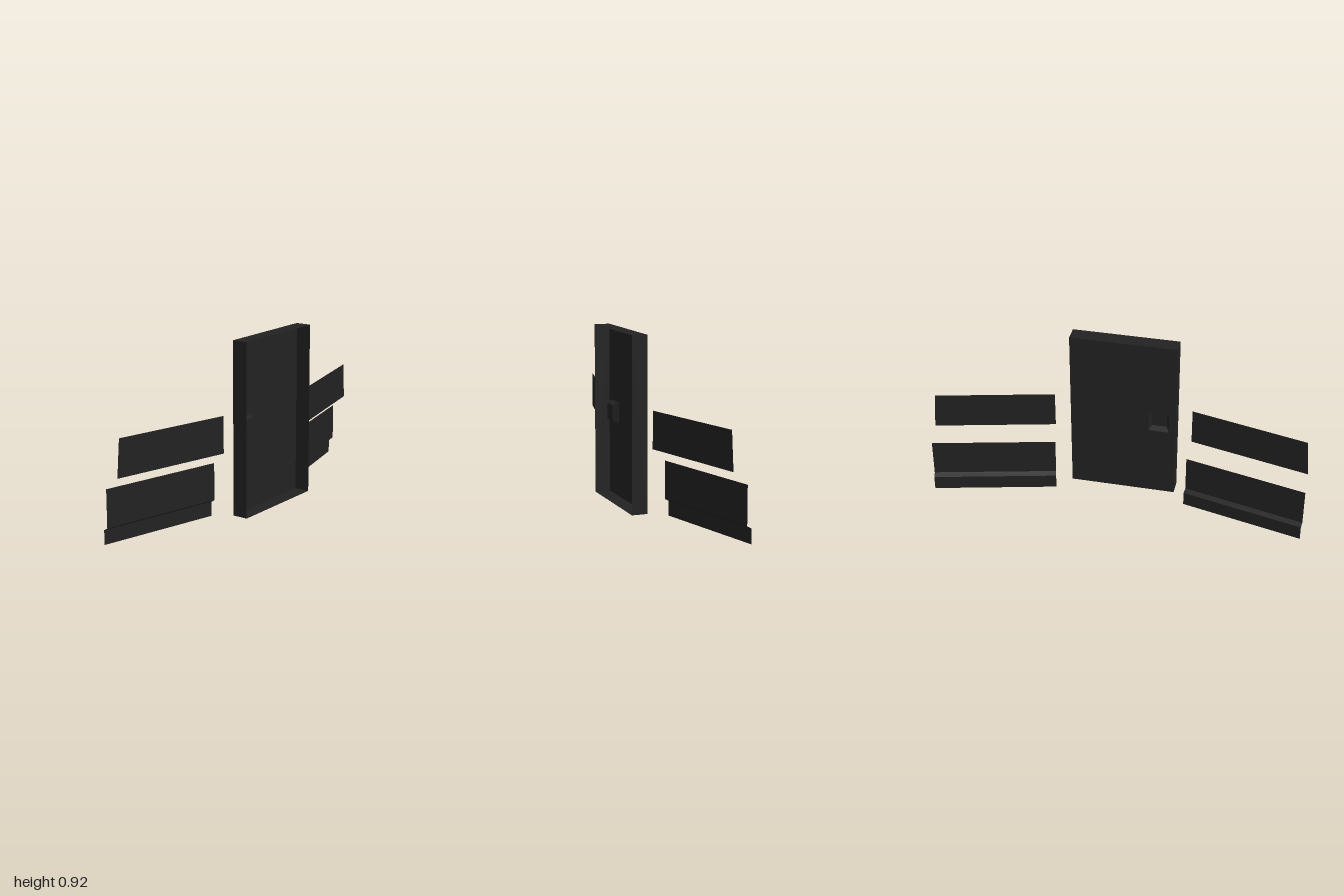
import * as THREE from 'three';

const black = new THREE.MeshStandardMaterial({ color: 0x222222, side: THREE.DoubleSide });
black.name = 'blackPaint';

// Flat-shaded sheet spanned between successive rows of [x, y, z] points
function sheet(rows) {
  const pos = [];
  for (let i = 0; i + 1 < rows.length; i++) {
    for (let j = 0; j + 1 < rows[i].length; j++) {
      const a = rows[i][j], b = rows[i][j + 1];
      const c = rows[i + 1][j + 1], d = rows[i + 1][j];
      pos.push(...a, ...b, ...c, ...a, ...c, ...d);
    }
  }
  const g = new THREE.BufferGeometry();
  g.setAttribute('position', new THREE.Float32BufferAttribute(pos, 3));
  g.computeVertexNormals();
  return g;
}

// Closed rectangular loop, counter-clockwise seen from +z
const loop = (x0, x1, y0, y1, z) =>
  [[x0, y0, z], [x1, y0, z], [x1, y1, z], [x0, y1, z], [x0, y0, z]];

function part(parent, name, geometry) {
  const m = new THREE.Mesh(geometry, black);
  m.name = name;
  parent.add(m);
  return m;
}

export function createModel() {
  const model = new THREE.Group();
  model.name = 'doorAndPanels';

  // Door: shallow tray, open at the front, with a handle recess pressed in from behind
  const door = new THREE.Group();
  door.name = 'door';
  model.add(door);
  const W = 0.283, H = 0.915, zBack = 0.08, zFront = 0.163, zPocket = 0.11;
  const rim = loop(-0.247, -0.137, 0.395, 0.51, zBack);
  const floor = loop(-0.232, -0.152, 0.41, 0.495, zPocket);

  part(door, 'doorEdges', sheet([loop(-W, W, 0, H, zBack), loop(-W, W, 0, H, zFront)]));

  const outline = new THREE.Shape(loop(-W, W, 0, H, 0).slice(0, 4).map(p => new THREE.Vector2(p[0], p[1])));
  outline.holes.push(new THREE.Path(rim.slice(0, 4).map(p => new THREE.Vector2(p[0], p[1]))));
  part(door, 'doorSkin', new THREE.ShapeGeometry(outline).rotateY(0)).position.z = zBack;

  part(door, 'handleRecessSides', sheet([rim, floor]));
  part(door, 'handleRecessFloor', sheet([[floor[0], floor[1]], [floor[3], floor[2]]]));

  // Side panels, swept back towards the outer ends
  for (const s of [1, -1]) {
    const side = new THREE.Group();
    side.name = s > 0 ? 'leftPanels' : 'rightPanels';
    model.add(side);

    part(side, 'upperPanel', sheet([
      [[s * 0.37, 0.352, 0.085], [s * 1.0, 0.352, -0.066]],
      [[s * 0.37, 0.547, 0.085], [s * 0.985, 0.547, -0.063]],
    ]));

    // Lower panel with a set-back skirt: [inner x, outer x, y, inner z, outer z]
    const profile = [
      [0.352, 0.996, 0, -0.009, -0.163],
      [0.352, 0.996, 0.076, -0.009, -0.163],
      [0.357, 1.0, 0.09, 0.014, -0.139],
      [0.357, 1.0, 0.287, 0.014, -0.139],
    ];
    part(side, 'lowerPanel', sheet(profile.map(([xi, xo, y, zi, zo]) =>
      [[s * xi, y, zi], [s * xo, y, zo]])));
  }
  return model;
}
